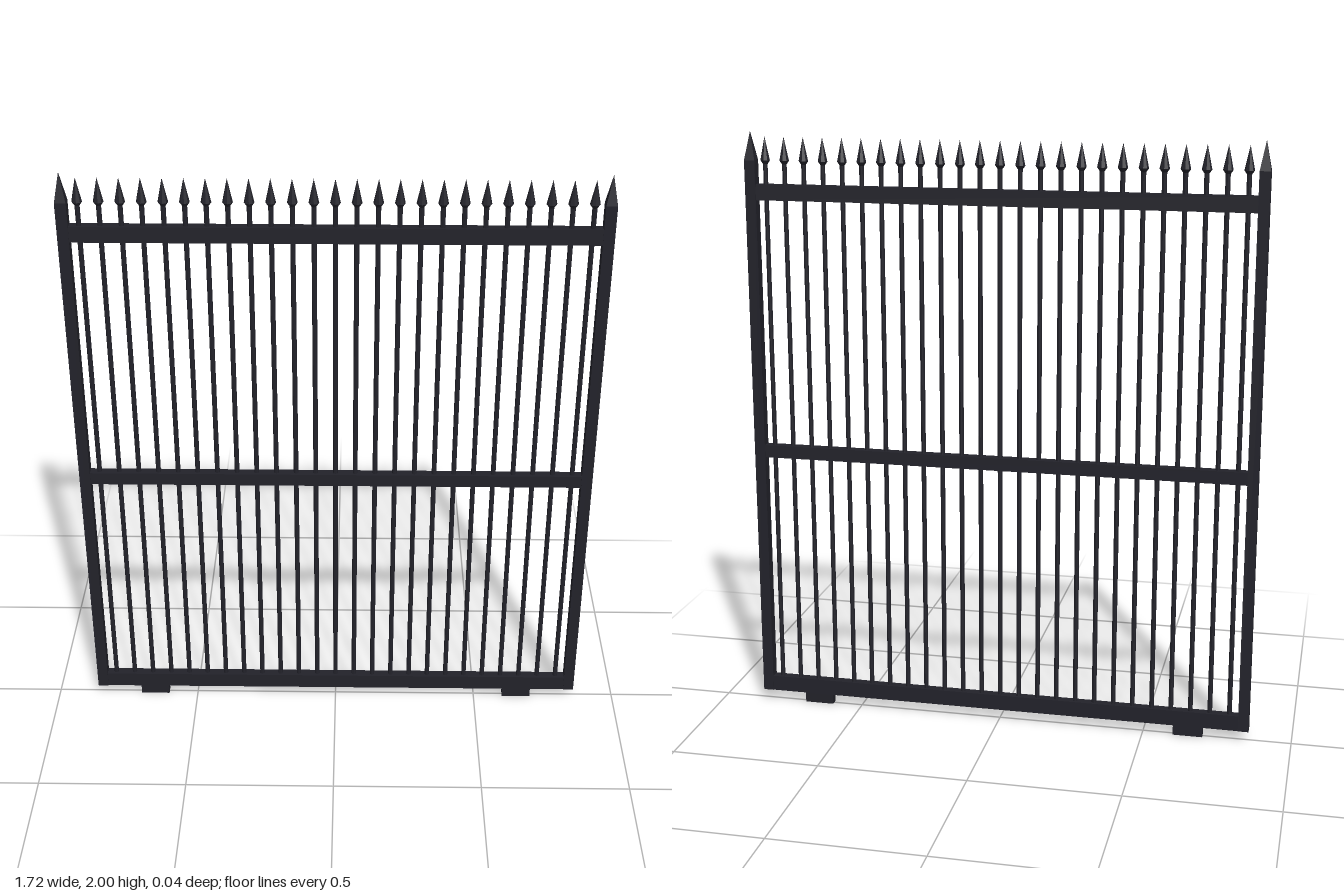
import * as THREE from 'three';

export function createModel() {
  const gate = new THREE.Group();
  gate.name = 'gate';
  const iron = new THREE.MeshStandardMaterial({ color: 0x22222a });
  iron.name = 'darkIron';
  iron.flatShading = true;

  function add(parent, name, geometry, x, y) {
    const mesh = new THREE.Mesh(geometry, iron);
    mesh.name = name;
    mesh.position.set(x, y, 0);
    parent.add(mesh);
  }

  // Horizontal rails: [name, bottom, top]
  const rails = [['bottomRail', 0.035, 0.088], ['middleRail', 0.895, 0.938], ['topRail', 1.775, 1.827]];
  for (const [name, y0, y1] of rails) {
    add(gate, name, new THREE.BoxGeometry(1.66, y1 - y0, 0.032), 0, (y0 + y1) / 2);
  }

  // Square end posts with pyramid caps, and the feet under the bottom rail
  const postGeo = new THREE.BoxGeometry(0.036, 1.87, 0.036);
  const capGeo = new THREE.ConeGeometry(0.018 * Math.SQRT2, 0.095, 4).rotateY(Math.PI / 4);
  const footGeo = new THREE.BoxGeometry(0.1, 0.037, 0.028);
  for (const [side, s] of [['left', 1], ['right', -1]]) {
    add(gate, side + 'Post', postGeo, s * 0.84, 0.97);
    add(gate, side + 'PostCap', capGeo, s * 0.84, 1.9525);
    add(gate, side + 'Foot', footGeo, s * 0.653, 0.0185);
  }

  // Row of pickets, each ending in a spearhead
  const barGeo = new THREE.CylinderGeometry(0.008, 0.008, 1.83, 8);
  const spearGeo = new THREE.LatheGeometry(
    [[0.008, 0], [0.0165, 0.012], [0, 0.09]].map(([r, y]) => new THREE.Vector2(r, y)), 8);
  for (let i = -12; i <= 12; i++) {
    const picket = new THREE.Group();
    picket.name = 'picket';
    picket.position.x = i * 0.0659;
    add(picket, 'bar', barGeo, 0, 0.98);
    add(picket, 'spearhead', spearGeo, 0, 1.893);
    gate.add(picket);
  }
  return gate;
}
